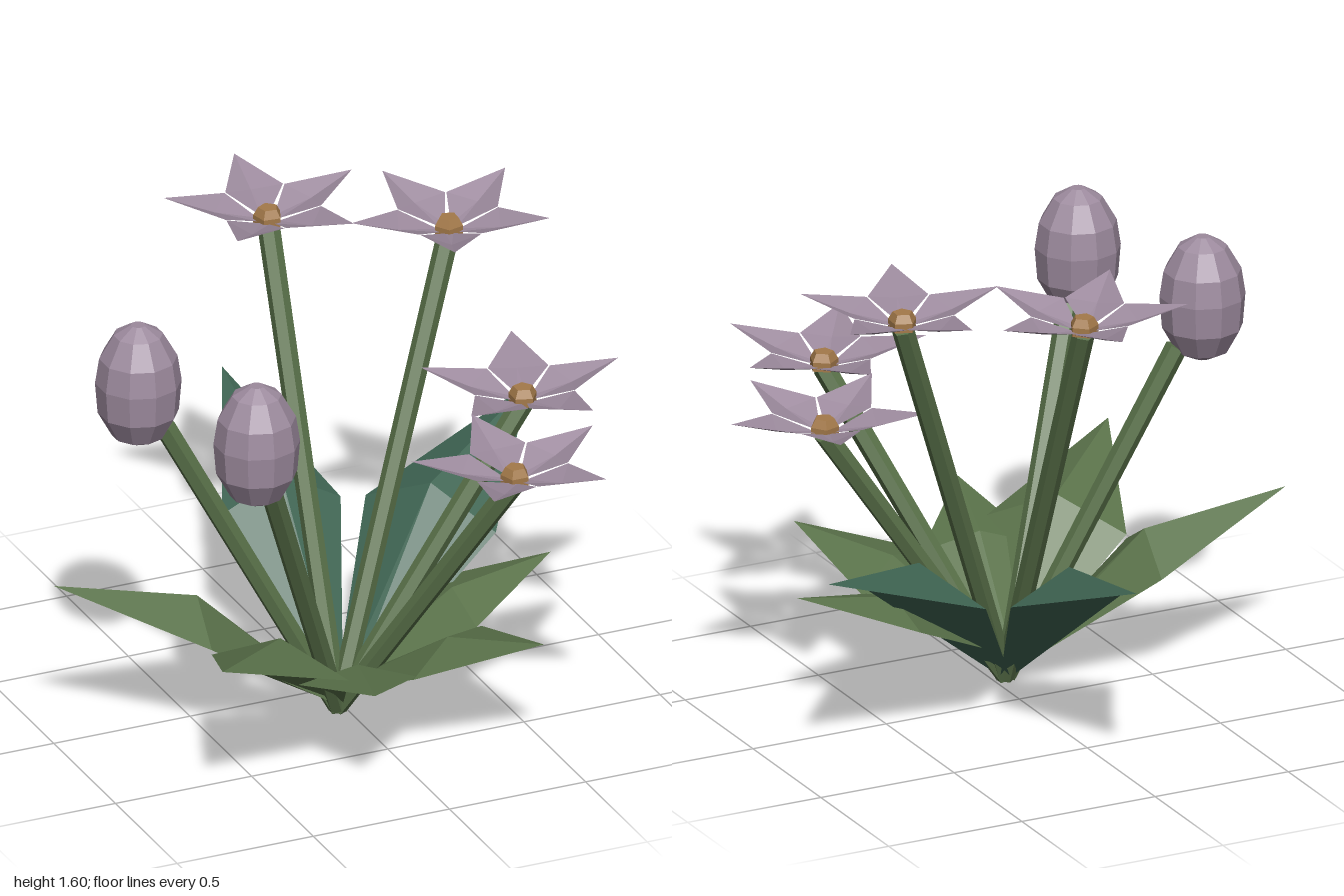
import * as THREE from 'three';

const mat = (name, color, side = THREE.FrontSide) => {
  const m = new THREE.MeshStandardMaterial({ color, flatShading: true, side });
  m.name = name;
  return m;
};

const BASE = new THREE.Vector3(-0.035, 0.016, 0.17);

// Creased blade along +x: a root (x, y, half width), a rib point, wide edges and a tip.
function bladeGeometry(root, rib, edge, tip) {
  const pos = [];
  for (const s of [1, -1]) {
    const a = [root[0], root[1], 0], b = [root[0], root[1], root[2] * s];
    const side = [edge[0], edge[1], edge[2] * s];
    const r = [...rib, 0], t = [...tip, 0];
    for (const [p, q, v] of [[a, b, r], [b, side, r], [side, t, r]]) {
      pos.push(...p, ...(s > 0 ? q : v), ...(s > 0 ? v : q));
    }
  }
  const g = new THREE.BufferGeometry();
  g.setAttribute('position', new THREE.Float32BufferAttribute(pos, 3));
  g.computeVertexNormals();
  return g;
}

const lathe = (points, sides) =>
  new THREE.LatheGeometry(points.map(p => new THREE.Vector2(...p)), sides);

export function createModel() {
  const model = new THREE.Group();
  model.name = 'floweringPlant';

  const petalMat = mat('mauve petal', 0x9d8b9e, THREE.DoubleSide);
  const stemMat = mat('stem green', 0x5a724a);
  const leafMat = mat('leaf green', 0x5a724a, THREE.DoubleSide);
  const tealMat = mat('teal leaf', 0x406654, THREE.DoubleSide);
  const coreMat = mat('brown flower centre', 0xa47a4a);

  const add = (parent, name, geo, material) => {
    const m = new THREE.Mesh(geo, material);
    m.name = name;
    parent.add(m);
    return m;
  };

  // Straight six-sided stem from the shared base to a point
  function addStem(end) {
    const dir = end.clone().sub(BASE);
    const stem = add(model, 'stem', new THREE.CylinderGeometry(0.038, 0.034, dir.length(), 6), stemMat);
    stem.position.copy(BASE).addScaledVector(dir, 0.5);
    stem.quaternion.setFromUnitVectors(new THREE.Vector3(0, 1, 0), dir.normalize());
  }

  // Open flowers: x, y, z and direction of the first petal in degrees
  const petalGeo = bladeGeometry([0.035, 0.012, 0.014], [0.18, 0.04], [0.145, 0.062, 0.102], [0.35, 0.095]);
  const coreGeo = lathe([[0, -0.006], [0.05, -0.002], [0.05, 0.03], [0.034, 0.058], [0, 0.058]], 5);
  for (const [x, y, z, deg] of [
    [0.022, 1.5, -0.518, -84.6],
    [0.543, 1.5, -0.205, -105],
    [0.648, 1.01, 0.165, 0],
    [0.375, 1.01, 0.707, -90],
  ]) {
    addStem(new THREE.Vector3(x, y, z));
    const flower = new THREE.Group();
    flower.name = 'flower';
    flower.position.set(x, y, z);
    flower.rotation.y = -THREE.MathUtils.degToRad(deg);
    for (let i = 0; i < 5; i++) {
      add(flower, 'petal', petalGeo, petalMat).rotation.y = i * Math.PI * 0.4;
    }
    add(flower, 'flowerCentre', coreGeo, coreMat).rotation.y = Math.PI / 2;
    model.add(flower);
  }

  // Closed faceted buds
  const budGeo = lathe([[0, -0.22], [0.03, -0.215], [0.09, -0.185], [0.137, -0.1], [0.146, 0.01],
    [0.132, 0.1], [0.083, 0.185], [0.025, 0.22], [0, 0.22]], 10);
  for (const [x, z] of [[-0.71, 0.045], [-0.54, 0.63]]) {
    const centre = new THREE.Vector3(x, 1.3, z);
    addStem(centre.clone().lerp(BASE, 0.13));
    add(model, 'bud', budGeo, petalMat).position.copy(centre);
  }

  // Leaves: tip x, y, z, root height, distance, half width and edge drop of the widest place, material
  for (const [x, y, z, rootY, wideAt, half, drop, material] of [
    [0.07, 0.74, -1.0, 0.01, 0.57, 0.21, 0.115, tealMat],
    [0.95, 0.74, -0.457, 0.01, 0.57, 0.26, 0.115, tealMat],
    [-1.0, 0.585, 0.0, 0.03, 0.485, 0.2, 0.11, leafMat],
    [-0.755, 0.585, 0.828, 0.03, 0.485, 0.25, 0.11, leafMat],
    [-0.24, 0.435, 0.927, 0.1, 0.42, 0.2, 0.06, leafMat],
    [0.437, 0.435, 0.803, 0.1, 0.42, 0.235, 0.06, leafMat],
    [0.748, 0.435, 0.17, 0.1, 0.42, 0.2, 0.06, leafMat],
  ]) {
    const dx = x - BASE.x, dz = z - BASE.z;
    const ribY = y * 0.83 + rootY * 0.15;
    const geo = bladeGeometry([0, rootY, 0.02], [wideAt, ribY], [wideAt, ribY - drop, half], [Math.hypot(dx, dz), y]);
    const leaf = add(model, 'leaf', geo, material);
    leaf.position.set(BASE.x, 0, BASE.z);
    leaf.rotation.y = -Math.atan2(dz, dx);
  }

  return model;
}
